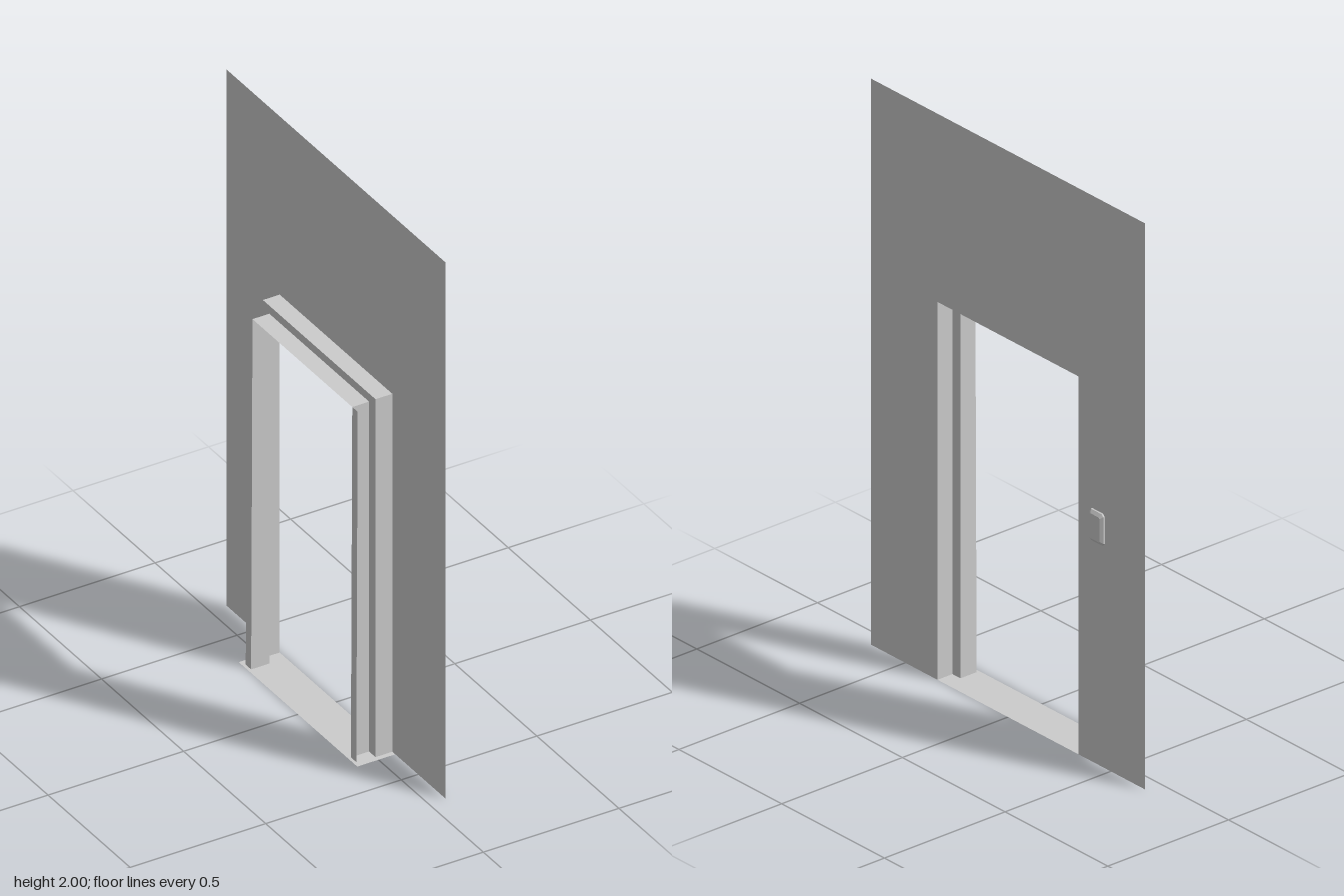
import * as THREE from 'three';

const WALL_X = 0.062;
const OPEN_Z = 0.343, OPEN_Y = 1.335; // opening in the wall
const DOOR_Z = 0.304, DOOR_Y = 1.305; // narrower inner doorway

const material = new THREE.MeshStandardMaterial({ color: 0xcccccc, flatShading: true, side: THREE.DoubleSide });

function addMesh(group, name, geometry) {
  const mesh = new THREE.Mesh(geometry, material);
  mesh.name = name;
  group.add(mesh);
  return mesh;
}

// Skin neighbouring sections (equal-length point lists) with flat faces
function loft(sections, closed) {
  const pos = [];
  for (let s = 0; s < sections.length - 1; s++) {
    const a = sections[s], b = sections[s + 1], n = a.length;
    for (let i = 0; i < (closed ? n : n - 1); i++) {
      const j = (i + 1) % n;
      for (const p of [a[i], a[j], b[j], a[i], b[j], b[i]]) pos.push(...p);
    }
  }
  const g = new THREE.BufferGeometry();
  g.setAttribute('position', new THREE.Float32BufferAttribute(pos, 3));
  g.computeVertexNormals();
  return g;
}

// Flat sheet facing +x
function sheet(depth, height, x, y, z) {
  return new THREE.PlaneGeometry(depth, height).rotateY(Math.PI / 2).translate(x, y, z);
}

// U-shaped outline of a doorway at a given x
const doorway = (x, h, top, footX = x) => [[footX, 0, -h], [x, top, -h], [x, top, h], [footX, 0, h]];

// Rectangle with cut corners, counter-clockwise seen from +x
function cutRect(x, cy, cz, hz, hy, c) {
  return [[hz - c, -hy], [hz, -hy + c], [hz, hy - c], [hz - c, hy],
    [-hz + c, hy], [-hz, hy - c], [-hz, -hy + c], [-hz + c, -hy]]
    .map(([u, v]) => [x, cy + v, cz - u]);
}

export function createModel() {
  const model = new THREE.Group();
  model.name = 'doorwayWall';

  // Thin wall, notched by the doorway
  const wall = new THREE.Shape([
    [-0.667, 0], [-OPEN_Z, 0], [-OPEN_Z, OPEN_Y], [OPEN_Z, OPEN_Y],
    [OPEN_Z, 0], [0.667, 0], [0.667, 2], [-0.667, 2],
  ].map(([u, v]) => new THREE.Vector2(u, v)));
  addMesh(model, 'wall', new THREE.ShapeGeometry(wall).rotateY(Math.PI / 2).translate(WALL_X, 0, 0));

  // Stepped frame: wide reveal, step inwards, narrow reveal
  addMesh(model, 'doorFrame', loft([
    doorway(WALL_X, OPEN_Z, OPEN_Y),
    doorway(0, OPEN_Z, OPEN_Y),
    doorway(0, DOOR_Z, DOOR_Y),
    doorway(-0.062, DOOR_Z, DOOR_Y, -0.067),
  ], false));

  // Narrow flanges on the far edge of the jambs
  for (const side of [-1, 1]) {
    addMesh(model, side > 0 ? 'frontFlange' : 'backFlange', loft([
      [[-0.067, 0, side * DOOR_Z], [-0.062, DOOR_Y, side * DOOR_Z]],
      [[-0.067, 0, side * 0.337], [-0.062, DOOR_Y, side * 0.337]],
    ], false));
  }

  // Floor sill
  addMesh(model, 'sill', new THREE.PlaneGeometry(0.14, 0.722).rotateX(-Math.PI / 2).translate(-0.008, 0, 0));

  // Flat indicator panel over the doorway
  addMesh(model, 'indicatorPanel', sheet(0.18, 0.072, 0.064, 1.413, 0));

  // Bevelled button plate beside the doorway
  const plate = new THREE.Group();
  plate.name = 'buttonPlate';
  const cy = 0.84, cz = -0.436;
  addMesh(plate, 'plateBody', loft([
    cutRect(WALL_X, cy, cz, 0.035, 0.056, 0.008),
    cutRect(0.067, cy, cz, 0.034, 0.055, 0.008),
    cutRect(0.075, cy, cz, 0.024, 0.044, 0.004),
  ], true));
  addMesh(plate, 'plateFace', loft([
    cutRect(0.075, cy, cz, 0.024, 0.044, 0.004),
    cutRect(0.075, cy, cz, 0, 0, 0),
  ], true));
  model.add(plate);

  return model;
}
